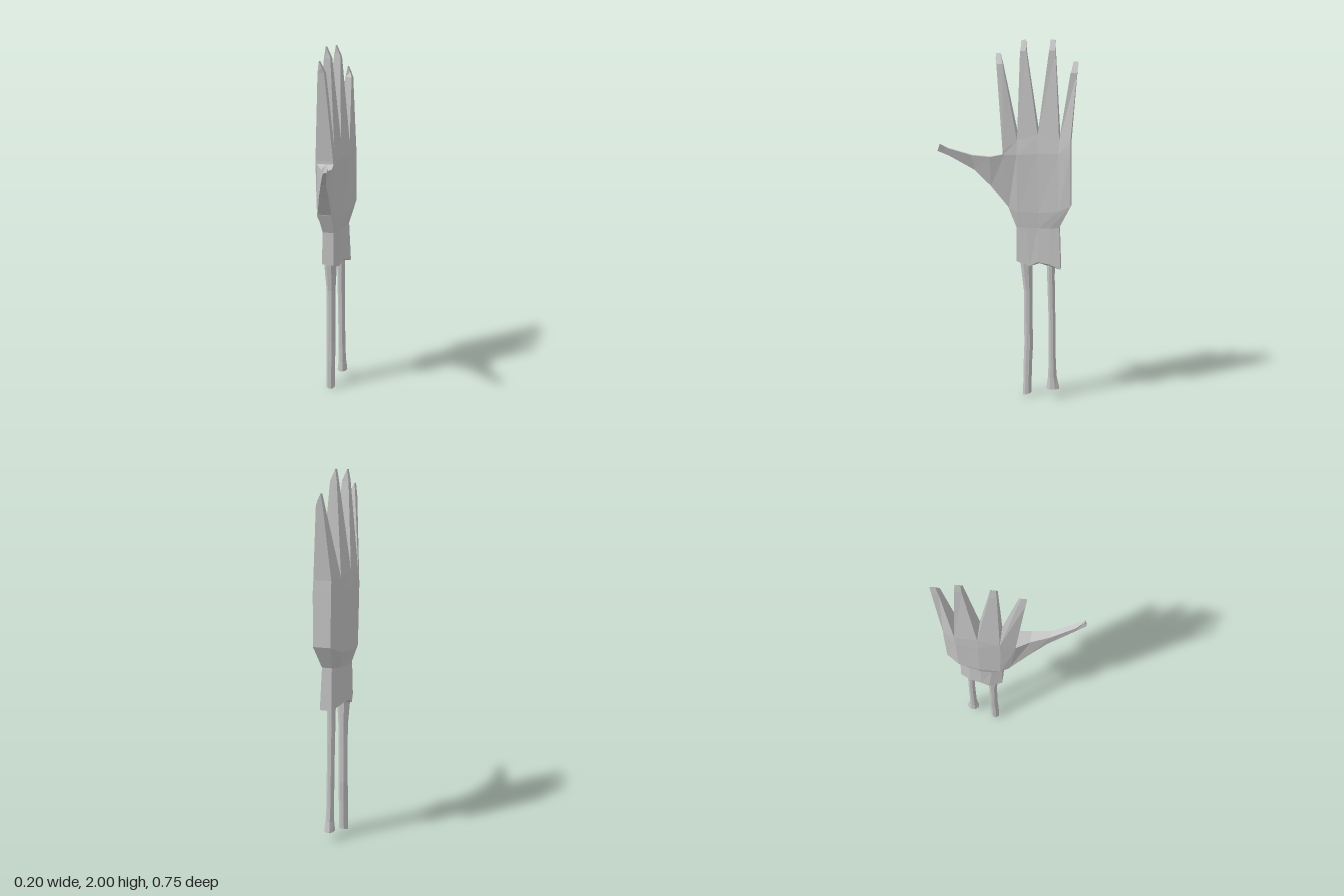
import * as THREE from 'three';

// Joins rings of [x, y, z] points into a capped solid, facing outward
function loft(rings) {
  const n = rings[0].length;
  const tris = [];
  const centre = (r) => [0, 1, 2].map((k) => r.reduce((s, p) => s + p[k], 0) / n);
  for (let i = 0; i < rings.length - 1; i++) {
    for (let j = 0; j < n; j++) {
      const k = (j + 1) % n;
      const a = rings[i][j], b = rings[i][k], c = rings[i + 1][k], d = rings[i + 1][j];
      tris.push([a, b, c], [a, c, d]);
    }
  }
  const first = rings[0], last = rings[rings.length - 1];
  const c0 = centre(first), c1 = centre(last);
  for (let j = 0; j < n; j++) {
    const k = (j + 1) % n;
    tris.push([c0, first[k], first[j]], [c1, last[j], last[k]]);
  }
  // The signed volume tells whether the corners need reversing
  const v = (p) => new THREE.Vector3(...p);
  const volume = tris.reduce((s, [a, b, c]) => s + v(a).sub(v(c0)).dot(v(b).sub(v(c0)).cross(v(c).sub(v(c0)))), 0);
  if (volume < 0) tris.forEach((t) => t.reverse());
  const geo = new THREE.BufferGeometry();
  geo.setAttribute('position', new THREE.Float32BufferAttribute(tris.flat(2), 3));
  geo.computeVertexNormals();
  return geo;
}

export function createModel() {
  const group = new THREE.Group();
  const grey = new THREE.MeshStandardMaterial({ color: 0xc4c4c4, flatShading: true });
  grey.name = 'plain grey';
  const add = (name, rings) => {
    const mesh = new THREE.Mesh(loft(rings), grey);
    mesh.name = name;
    group.add(mesh);
  };

  // Palm and wrist: five columns across the hand, as [y, z, xBack, xPalm]
  const levels = [
    [[0.79, -0.045, -0.07, 0], [0.765, -0.12, -0.09, 0.012], [0.79, -0.165, -0.085, 0.018], [0.78, -0.23, -0.07, 0.025], [0.755, -0.292, -0.035, 0.03]],
    [[0.98, -0.045, -0.065, 0], [0.98, -0.1, -0.08, 0.008], [0.98, -0.165, -0.08, 0.012], [0.98, -0.23, -0.065, 0.018], [0.985, -0.283, -0.035, 0.02]],
    [[1.09, 0, -0.08, 0], [1.07, -0.05, -0.1, 0.01], [1.065, -0.165, -0.1, 0.018], [1.075, -0.28, -0.085, 0.035], [1.105, -0.345, -0.05, 0.045]],
    [[1.38, 0.03, -0.08, 0.02], [1.38, -0.045, -0.1, 0.012], [1.39, -0.16, -0.1, 0.015], [1.39, -0.277, -0.086, 0.028], [1.39, -0.342, -0.055, 0.045]],
    [[1.4, 0.03, -0.08, 0.02], [1.46, -0.047, -0.1, 0.003], [1.49, -0.16, -0.097, 0.006], [1.46, -0.278, -0.085, 0.022], [1.45, -0.34, -0.055, 0.042]],
  ];
  add('palm', levels.map((cols) => [
    ...cols.map(([y, z, , x]) => [x, y, z]),
    ...cols.map(([y, z, x]) => [x, y, z]).reverse(),
  ]));

  // Fingers: each grows from one gap between columns to a small nail tip
  const top = levels[4];
  const quad = (x, y, z, w, d) => [[x + w, y, z + d], [x + w, y, z - d], [x - w, y, z - d], [x - w, y, z + d]];
  const tips = [
    ['indexFinger', 1.93, 0.062, -0.035],
    ['middleFinger', 2, -0.076, -0.042],
    ['ringFinger', 2, -0.234, -0.035],
    ['littleFinger', 1.88, -0.362, -0.004],
  ];
  tips.forEach(([name, y, z, x], i) => {
    const [a, b] = [top[i], top[i + 1]];
    const base = [[a[3], a[0], a[1]], [b[3], b[0], b[1]], [b[2], b[0], b[1]], [a[2], a[0], a[1]]];
    const tip = quad(x - 0.002, y, z, 0.007, 0.013);
    tip[0][1] -= 0.03; // the pad side slopes down from the nail
    tip[1][1] -= 0.03;
    const slant = i === 0 ? 0.012 : i === 3 ? -0.012 : 0;
    add(name, [base, quad(x, y - 0.06, z - slant * 0.8, 0.018, 0.017), tip]);
  });

  // Thumb: top and bottom edges as [y, z, xBack, xPalm]
  const thumb = [
    [[1.385, 0.02, -0.08, 0.02], [1.09, -0.002, -0.08, 0]],
    [[1.37, 0.1, -0.028, 0.036], [1.21, 0.095, -0.04, 0.016]],
    [[1.38, 0.2, 0.007, 0.043], [1.3, 0.185, 0, 0.03]],
    [[1.42, 0.325, 0.058, 0.083], [1.378, 0.315, 0.052, 0.075]],
    [[1.443, 0.362, 0.085, 0.098], [1.405, 0.375, 0.08, 0.095]],
  ];
  add('thumb', thumb.map(([t, b]) => [
    [t[2], t[0], t[1]], [t[3], t[0], t[1]], [b[3], b[0], b[1]], [b[2], b[0], b[1]],
  ]));

  // Forearm bones: eight-sided shafts as [y, x, z, radiusX, radiusZ]
  const bone = (name, path) => add(name, path.map(([y, x, z, rx, rz, tilt = 0]) =>
    Array.from({ length: 8 }, (_, i) => {
      const a = (i + 0.5) * Math.PI / 4;
      return [x + rx * Math.cos(a), y + tilt * Math.sin(a), z + rz * Math.sin(a)];
    })));
  bone('thickBone', [
    [0.86, -0.035, -0.095, 0.04, 0.04], [0.77, -0.035, -0.098, 0.036, 0.035],
    [0.62, -0.035, -0.107, 0.026, 0.025], [0.5, -0.035, -0.108, 0.026, 0.024],
    [0.3, -0.036, -0.111, 0.026, 0.026], [0.18, -0.036, -0.106, 0.026, 0.025],
    [0.012, -0.036, -0.104, 0.026, 0.025, -0.008],
  ]);
  bone('thinBone', [
    [0.86, -0.015, -0.236, 0.026, 0.024], [0.7, -0.014, -0.237, 0.023, 0.022],
    [0.45, -0.013, -0.245, 0.021, 0.02], [0.2, -0.01, -0.248, 0.021, 0.022],
    [0.12, -0.008, -0.25, 0.023, 0.027], [0.06, -0.008, -0.253, 0.029, 0.039],
  ]);
  return group;
}
